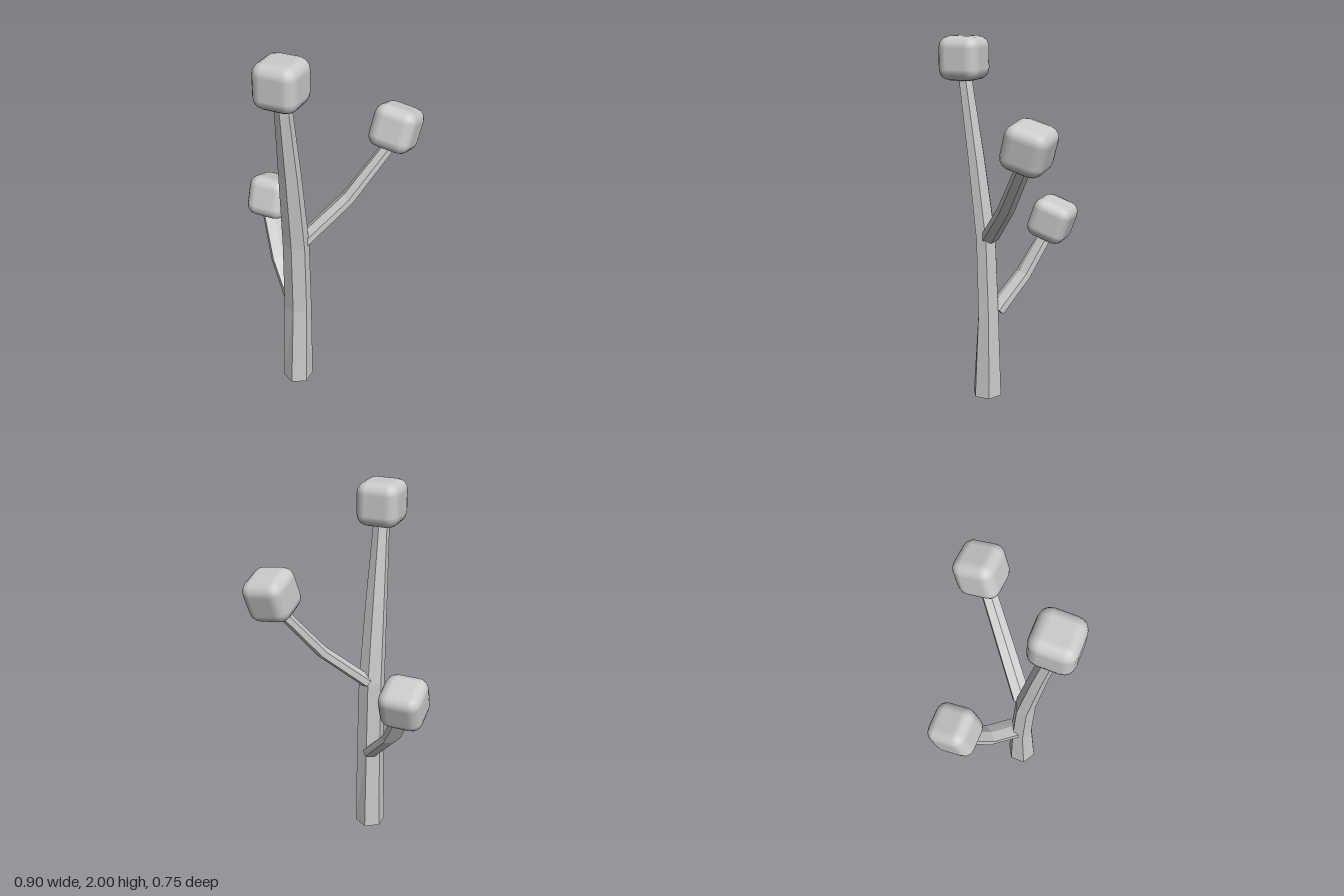
import * as THREE from 'three';
import { RoundedBoxGeometry } from 'three/addons/geometries/RoundedBoxGeometry.js';

const SIDES = 6;
const bark = new THREE.MeshStandardMaterial({ color: 0xcccccc, flatShading: true });
const leaf = new THREE.MeshStandardMaterial({ color: 0xcccccc });

// Lofts six-sided rings; each ring is { c: centre, side, normal, w, h } with half sizes w and h
function loft(name, rings) {
  const pos = [], index = [];
  for (const { c, side, normal, w, h } of rings) {
    for (let i = 0; i < SIDES; i++) {
      const a = Math.PI / 6 + (i / SIDES) * Math.PI * 2;
      const p = c.clone()
        .addScaledVector(side, (Math.cos(a) * w) / Math.cos(Math.PI / 6))
        .addScaledVector(normal, Math.sin(a) * h);
      pos.push(p.x, p.y, p.z);
    }
  }
  for (let r = 0; r < rings.length - 1; r++) {
    for (let i = 0; i < SIDES; i++) {
      const a = r * SIDES + i, b = r * SIDES + ((i + 1) % SIDES);
      index.push(a, a + SIDES, b, b, a + SIDES, b + SIDES);
    }
  }
  // End caps
  const top = (rings.length - 1) * SIDES;
  for (let i = 1; i < SIDES - 1; i++) {
    index.push(0, i, i + 1, top, top + i + 1, top + i);
  }
  const geo = new THREE.BufferGeometry();
  geo.setAttribute('position', new THREE.Float32BufferAttribute(pos, 3));
  geo.setIndex(index);
  geo.computeVertexNormals();
  const mesh = new THREE.Mesh(geo, bark);
  mesh.name = name;
  return mesh;
}

// Bent branch: each point is [x, y, z, half width, half thickness]
function branch(name, points) {
  const v = points.map(([x, y, z]) => new THREE.Vector3(x, y, z));
  const last = v.length - 1;
  return loft(name, v.map((c, i) => {
    const tangent = v[Math.min(i + 1, last)].clone().sub(v[Math.max(i - 1, 0)]).normalize();
    const side = tangent.clone().cross(new THREE.Vector3(0, 1, 0)).normalize();
    const normal = side.clone().cross(tangent);
    return { c, side, normal, w: points[i][3], h: points[i][4] };
  }));
}

// Rounded cube of foliage
function foliage(name, position, rx = 0, rz = 0) {
  const mesh = new THREE.Mesh(new RoundedBoxGeometry(0.226, 0.226, 0.226, 2, 0.06), leaf);
  mesh.name = name;
  mesh.position.set(...position);
  mesh.rotation.set(rx, 0, rz);
  return mesh;
}

export function createModel() {
  const group = new THREE.Group();
  group.name = 'tree';

  // Trunk, tapering and leaning forward: [y, z, half width, half depth]
  const X = new THREE.Vector3(1, 0, 0), Z = new THREE.Vector3(0, 0, 1);
  const profile = [
    [0, 0.14, 0.0735, 0.085],
    [0.5, 0.13, 0.068, 0.06],
    [0.93, 0.142, 0.064, 0.056],
    [1.37, 0.195, 0.052, 0.047],
    [1.82, 0.258, 0.036, 0.038],
  ];
  group.add(loft('trunk', profile.map(([y, z, w, h]) => (
    { c: new THREE.Vector3(-0.052, y, z), side: X, normal: Z, w, h }
  ))));

  // Branches
  group.add(branch('leftBranch', [
    [-0.03, 0.94, 0.11, 0.046, 0.035],
    [0.15, 1.155, -0.06, 0.042, 0.032],
    [0.32, 1.45, -0.235, 0.036, 0.028],
  ]));
  group.add(branch('rightBranch', [
    [-0.08, 0.51, 0.095, 0.056, 0.036],
    [-0.225, 0.69, -0.01, 0.053, 0.034],
    [-0.345, 0.94, -0.12, 0.046, 0.03],
  ]));

  // Foliage at the tips
  group.add(foliage('topFoliage', [-0.052, 1.887, 0.258]));
  group.add(foliage('leftFoliage', [0.325, 1.515, -0.25], -0.28, -0.14));
  group.add(foliage('rightFoliage', [-0.338, 0.995, -0.14], -0.33));

  return group;
}
